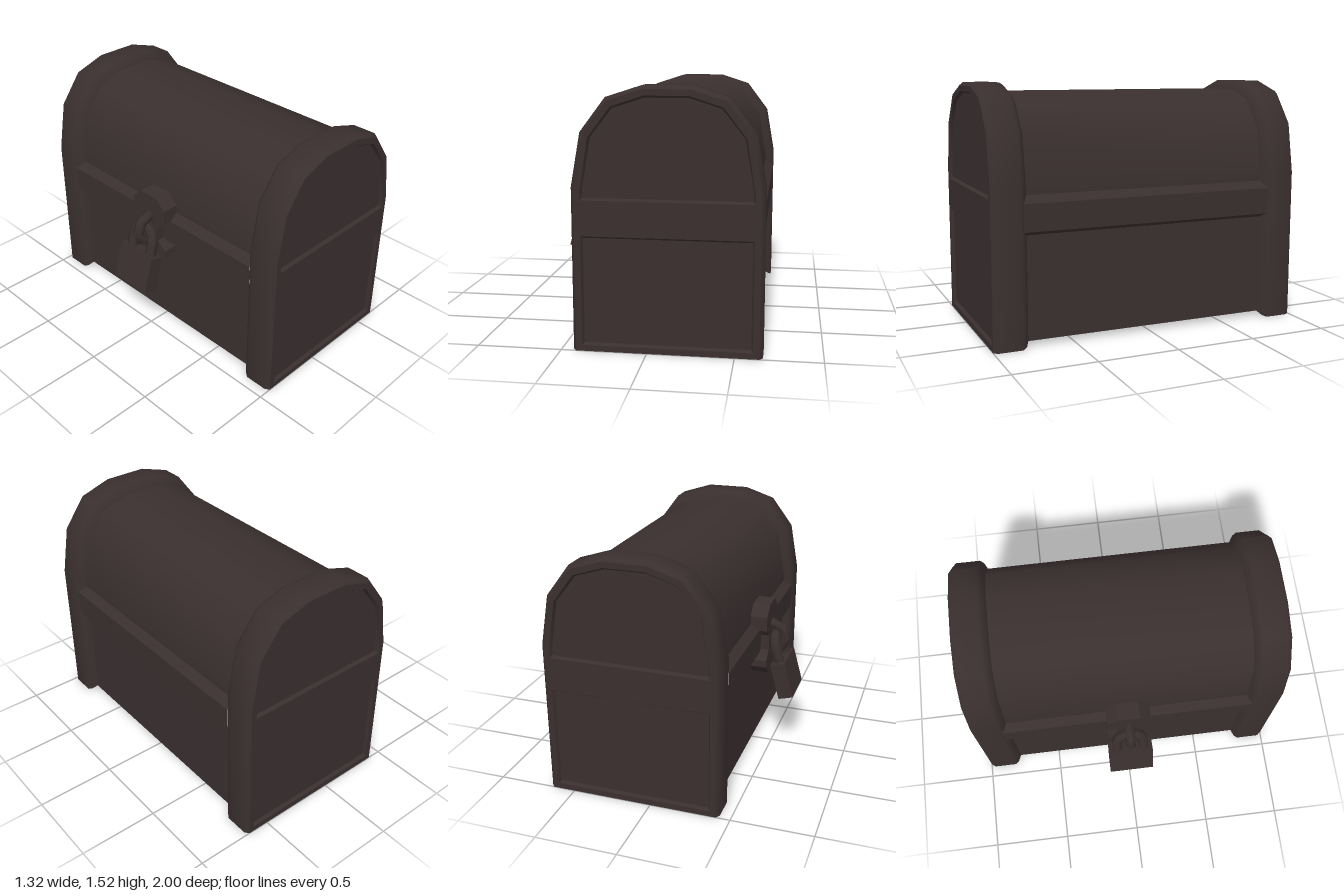
import * as THREE from 'three';
import { toCreasedNormals } from 'three/addons/utils/BufferGeometryUtils.js';

// Half outlines of the arched chest, bottom to top: raised bands and sunken panels
const OUTER = [[0.545, 0], [0.545, 0.95], [0.49, 1.26], [0.343, 1.455], [0.14, 1.52]];
const INNER = [[0.49, 0.033], [0.49, 0.93], [0.44, 1.235], [0.31, 1.405], [0.125, 1.465]];

const mirror = (half) => [...half, ...half.map(([x, y]) => [-x, y]).reverse()];
const mix = (t, bottom) => mirror(OUTER.map(([x, y], i) => [
  x + (INNER[i][0] - x) * t,
  i === 0 && bottom !== undefined ? bottom : y + (INNER[i][1] - y) * t,
]));

// Skin through outlines placed at given z values
function loft(rings, closed = false) {
  const pos = [];
  for (let r = 0; r < rings.length - 1; r++) {
    const A = rings[r], B = rings[r + 1], n = A.pts.length;
    for (let i = 0; i < (closed ? n : n - 1); i++) {
      const j = (i + 1) % n;
      const a = [...A.pts[i], A.z], b = [...A.pts[j], A.z];
      const c = [...B.pts[i], B.z], d = [...B.pts[j], B.z];
      pos.push(...a, ...c, ...b, ...b, ...c, ...d);
    }
  }
  const g = new THREE.BufferGeometry();
  g.setAttribute('position', new THREE.Float32BufferAttribute(pos, 3));
  return toCreasedNormals(g, 0.85);
}

const vectors = (pts) => pts.map(([x, y]) => new THREE.Vector2(x, y));

export function createModel() {
  const model = new THREE.Group();
  model.name = 'chest';
  const dark = new THREE.MeshStandardMaterial({ color: 0x3a2f2f, side: THREE.DoubleSide });
  dark.name = 'darkBrown';

  const add = (parent, name, geometry) => {
    const mesh = new THREE.Mesh(geometry, dark);
    mesh.name = name;
    parent.add(mesh);
    return mesh;
  };

  const shell = new THREE.Group();
  shell.name = 'shell';
  shell.position.x = 0.115;
  model.add(shell);

  // Side panels, raised middle rails and barrel lid in one sweep
  const body = mirror([
    INNER[0], [0.49, 0.66], [0.54, 0.685], [0.543, 0.85], [0.49, 0.892], ...INNER.slice(1),
  ]);
  add(shell, 'bodyAndLid', loft([{ pts: body, z: 0.81 }, { pts: body, z: -0.81 }]));

  // Both ends: bevelled band, face frame and two recessed panels
  const lower = [[0.49, 0.035], [0.49, 0.675], [-0.49, 0.675], [-0.49, 0.035]];
  const upper = mirror([[0.49, 0.88], ...INNER.slice(1)]);
  const shrink = (pts) => {
    const ys = pts.map((p) => p[1]);
    const mid = (Math.max(...ys) + Math.min(...ys)) / 2;
    const k = 1 - 0.024 / (Math.max(...ys) - Math.min(...ys));
    return pts.map(([x, y]) => [x * 0.978, mid + (y - mid) * k]);
  };
  for (const side of [0, 1]) {
    const end = new THREE.Group();
    end.name = side ? 'backEnd' : 'frontEnd';
    end.rotation.y = side * Math.PI;
    shell.add(end);

    add(end, 'band', loft([
      { pts: mix(0.36, 0), z: 1 },
      { pts: mix(0, 0), z: 0.975 },
      { pts: mix(0, 0), z: 0.825 },
      { pts: mix(0.3), z: 0.8 },
      { pts: mix(1), z: 0.78 },
    ]));

    const frame = new THREE.Shape(vectors(mix(0.36, 0)));
    for (const hole of [lower, upper]) frame.holes.push(new THREE.Path(vectors(hole)));
    add(end, 'endFrame', new THREE.ShapeGeometry(frame)).position.z = 1;

    for (const [name, hole] of [['lowerPanel', lower], ['upperPanel', upper]]) {
      const inset = shrink(hole);
      add(end, name + 'Edge', loft([{ pts: inset, z: 0.98 }, { pts: hole, z: 1 }], true));
      add(end, name, new THREE.ShapeGeometry(new THREE.Shape(vectors(inset)))).position.z = 0.98;
    }
  }

  // Waisted lock plate on the right side
  const plateHalf = [[0.07, 0.535], [0.14, 0.6], [0.14, 0.645], [0.075, 0.7],
    [0.075, 0.8], [0.14, 0.85], [0.14, 0.945], [0.07, 1.01]];
  const plate = add(model, 'lockPlate', new THREE.ExtrudeGeometry(
    new THREE.Shape(vectors(mirror(plateHalf))), { depth: 0.11, bevelEnabled: false }));
  plate.rotation.y = -Math.PI / 2;
  plate.position.x = -0.37;

  // Staple ring
  const staple = add(model, 'staple', new THREE.TorusGeometry(0.09, 0.035, 6, 8));
  staple.position.set(-0.485, 0.77, 0);

  // Hanging padlock
  const padlock = new THREE.Group();
  padlock.name = 'padlock';
  padlock.position.set(-0.587, 0.518, 0);
  padlock.rotation.z = -0.27;
  model.add(padlock);
  add(padlock, 'padlockBody', new THREE.BoxGeometry(0.095, 0.238, 0.29));

  const path = new THREE.CurvePath();
  const points = [[-0.085, 0.1], [-0.085, 0.2]];
  for (let i = 1; i < 5; i++) {
    const a = Math.PI * (1 - i / 5);
    points.push([0.085 * Math.cos(a), 0.2 + 0.085 * Math.sin(a)]);
  }
  points.push([0.085, 0.2], [0.085, 0.1]);
  const curve = new THREE.CatmullRomCurve3(points.map(([z, y]) => new THREE.Vector3(0, y, z)));
  add(padlock, 'shackle', new THREE.TubeGeometry(curve, 12, 0.035, 6));

  return model;
}
